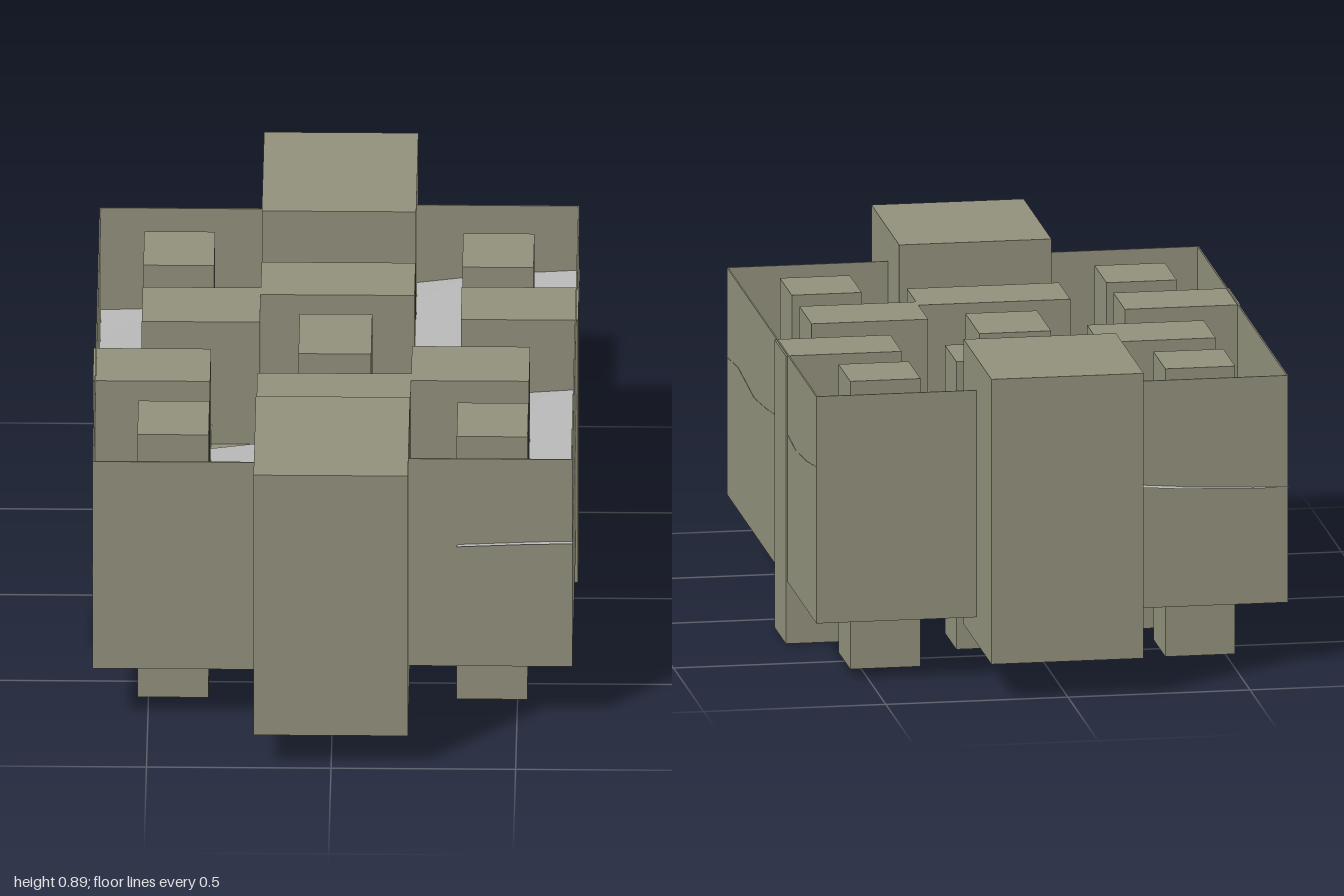
import * as THREE from 'three';

export function createModel() {
  const model = new THREE.Group();
  const olive = new THREE.MeshStandardMaterial({ color: 0x91907c });
  olive.name = 'olive';
  const grey = new THREE.MeshStandardMaterial({ color: 0xb6b6b6, side: THREE.DoubleSide });
  grey.name = 'grey';

  // Box given by its limits on each axis
  function box(parent, name, x0, x1, y0, y1, z0, z1) {
    const mesh = new THREE.Mesh(new THREE.BoxGeometry(x1 - x0, y1 - y0, z1 - z0), olive);
    mesh.position.set((x0 + x1) / 2, (y0 + y1) / 2, (z0 + z1) / 2);
    mesh.name = name;
    parent.add(mesh);
  }

  // One half of the fort; the other half is the same turned by 180 degrees
  function createHalf() {
    const half = new THREE.Group();
    const t = 0.004;

    // Tower: solid top over a U-shaped base with a slot facing inward
    box(half, 'tower', -0.21, 0.208, 0.43, 0.895, 0.54, 1);
    const u = new THREE.Shape([
      [-0.21, -0.54], [-0.21, -1], [0.208, -1], [0.208, -0.54],
      [0.06, -0.54], [0.06, -0.8], [-0.06, -0.8], [-0.06, -0.54],
    ].map(([x, y]) => new THREE.Vector2(x, y)));
    const base = new THREE.Mesh(new THREE.ExtrudeGeometry(u, { depth: 0.33, bevelEnabled: false }), olive);
    base.rotation.x = -Math.PI / 2;
    base.position.y = 0.1;
    base.name = 'towerBase';
    half.add(base);

    // Thin outer walls
    box(half, 'sideWall', 0.646, 0.646 + t, 0.172, 0.805, -0.755, 0.727);
    box(half, 'leftFrontWall', 0.208, 0.65, 0.172, 0.805, 0.727 - t, 0.727);
    box(half, 'rightFrontWall', -0.65, -0.21, 0.172, 0.805, 0.755 - t, 0.755);

    // Inner pillars [x0, x1, z0, z1]
    [
      [0.335, 0.527, 0.395, 0.592],
      [0.207, 0.527, 0.067, 0.268],
      [0.337, 0.655, -0.28, -0.09],
      [-0.21, 0.207, 0.228, 0.418],
      [-0.53, -0.337, 0.395, 0.592],
    ].forEach(([x0, x1, z0, z1]) => box(half, 'pillar', x0, x1, 0, 0.803, z0, z1));
    return half;
  }
  const front = createHalf();
  front.name = 'frontHalf';
  const back = createHalf();
  back.name = 'backHalf';
  back.rotation.y = Math.PI;
  model.add(front, back);
  box(model, 'centrePillar', -0.1, 0.097, 0, 0.803, -0.117, 0.115);

  // Thin floor
  box(model, 'floor', -0.647, 0.647, 0.42, 0.43, -0.727, 0.727);

  // Uneven grey ground above the floor, left out where the floor is bare
  const xs = [-0.651, -0.53, -0.337, -0.21, -0.1, 0.095, 0.205, 0.337, 0.53, 0.651];
  const zs = [-0.755, -0.6, -0.42, -0.25, -0.08, 0.07, 0.27, 0.42, 0.54, 0.74];
  const bare = [
    [0.095, 0.337, -0.25, 0.07], [-0.337, -0.1, -0.08, 0.07],
    [-0.651, -0.53, -0.42, -0.25], [0.205, 0.337, 0.27, 0.74],
  ];
  const isBare = (x, z) => bare.some(([x0, x1, z0, z1]) => x > x0 && x < x1 && z > z0 && z < z1);
  const height = (x, z) => 0.525 + 0.075 * x - 0.03 * z + 0.015 * Math.sin(9 * z + 4 * x);
  const points = [];
  const index = [];
  zs.forEach((z) => xs.forEach((x) => points.push(x, height(x, z), z)));
  for (let j = 0; j < zs.length - 1; j++) {
    for (let i = 0; i < xs.length - 1; i++) {
      if (isBare((xs[i] + xs[i + 1]) / 2, (zs[j] + zs[j + 1]) / 2)) continue;
      const a = j * xs.length + i;
      const b = a + xs.length;
      index.push(a, b, a + 1, a + 1, b, b + 1);
    }
  }
  const geometry = new THREE.BufferGeometry();
  geometry.setAttribute('position', new THREE.Float32BufferAttribute(points, 3));
  geometry.setIndex(index);
  geometry.computeVertexNormals();
  const ground = new THREE.Mesh(geometry, grey);
  ground.name = 'ground';
  model.add(ground);

  return model;
}
